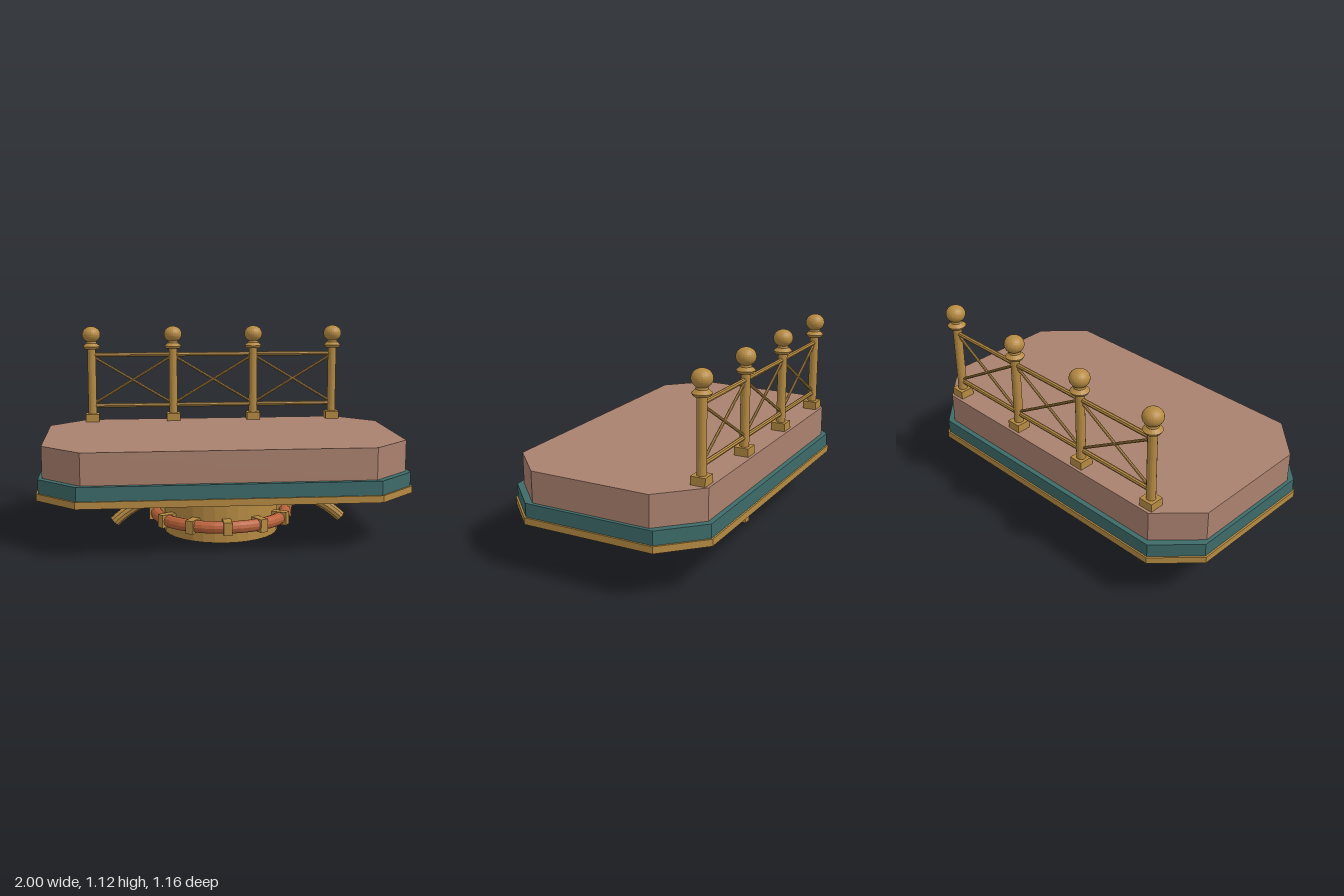
import * as THREE from 'three';

export function createModel() {
  const model = new THREE.Group();
  const material = (name, color, flatShading = false) => {
    const m = new THREE.MeshStandardMaterial({ color, flatShading });
    m.name = name;
    return m;
  };
  const brass = material('brass', 0xb58a42, true);
  const teal = material('teal', 0x3d6b69, true);
  const cushion = material('dustyPink', 0xaa816e, true);
  const copper = material('copper', 0xb9623a, true);

  const add = (name, geometry, mat, x = 0, y = 0, z = 0, parent = model) => {
    const mesh = new THREE.Mesh(geometry, mat);
    mesh.name = name;
    mesh.position.set(x, y, z);
    parent.add(mesh);
    return mesh;
  };

  // Octagonal slab with cut corners
  const slab = (name, hx, hz, cut, y0, y1, mat) => {
    const shape = new THREE.Shape([
      [hx, hz - cut], [hx - cut, hz], [cut - hx, hz], [-hx, hz - cut],
      [-hx, cut - hz], [cut - hx, -hz], [hx - cut, -hz], [hx, cut - hz],
    ].map(([x, z]) => new THREE.Vector2(x, z)));
    const geometry = new THREE.ExtrudeGeometry(shape, { depth: y1 - y0, bevelEnabled: false });
    geometry.rotateX(-Math.PI / 2);
    add(name, geometry, mat, 0, y0, 0);
  };
  slab('basePlate', 1.0, 0.58, 0.21, 0.268, 0.305, brass);
  slab('middleTier', 0.99, 0.571, 0.205, 0.305, 0.38, teal);
  slab('topDeck', 0.97, 0.543, 0.207, 0.38, 0.55, cushion);

  // Round pedestal with a clamped ring
  add('pedestal', new THREE.CylinderGeometry(0.32, 0.32, 0.27, 32), brass, 0, 0.135, 0);
  const ring = new THREE.TorusGeometry(0.365, 0.034, 12, 36);
  ring.rotateX(Math.PI / 2);
  add('pedestalRing', ring, copper, 0, 0.098, 0);
  for (let i = 0; i < 12; i++) {
    const a = (i / 12) * Math.PI * 2;
    const clamp = add('ringClamp', new THREE.BoxGeometry(0.045, 0.072, 0.09), brass,
      Math.sin(a) * 0.36, 0.098, Math.cos(a) * 0.36);
    clamp.rotation.y = a;
  }

  // Curved brackets under the four corners
  for (const sx of [-1, 1]) for (const sz of [-1, 1]) {
    const v = (x, y) => new THREE.Vector3(sx * x, y, sz * 0.435);
    const end = v(0.594, 0.165);
    const curve = new THREE.QuadraticBezierCurve3(v(0.38, 0.288), v(0.49, 0.262), end);
    add('curvedBracket', new THREE.TubeGeometry(curve, 8, 0.029, 10), brass);
    const cap = add('bracketCap', new THREE.CircleGeometry(0.029, 10), brass, end.x, end.y, end.z);
    cap.lookAt(end.clone().add(curve.getTangent(1)));
  }

  // Railing along the back edge
  const railing = new THREE.Group();
  railing.name = 'railing';
  railing.position.z = -0.487;
  model.add(railing);

  const rod = (name, x0, y0, x1, y1, r) => {
    const dx = x1 - x0, dy = y1 - y0;
    const mesh = add(name, new THREE.CylinderGeometry(r, r, Math.hypot(dx, dy), 8), brass,
      (x0 + x1) / 2, (y0 + y1) / 2, 0, railing);
    mesh.rotation.z = Math.atan2(-dx, dy);
  };

  const collarProfile = [[0, 0.985], [0.042, 0.985], [0.051, 1.0], [0.031, 1.018], [0.028, 1.035], [0, 1.035]]
    .map(([r, y]) => new THREE.Vector2(r, y));
  const postX = [-0.729, -0.243, 0.243, 0.729];
  for (const x of postX) {
    add('postFoot', new THREE.BoxGeometry(0.08, 0.045, 0.08), brass, x, 0.5725, 0, railing);
    add('post', new THREE.CylinderGeometry(0.025, 0.025, 0.42, 16), brass, x, 0.79, 0, railing);
    add('postCollar', new THREE.LatheGeometry(collarProfile, 20), brass, x, 0, 0, railing);
    const ball = add('postBall', new THREE.SphereGeometry(0.054, 24, 16), brass, x, 1.07, 0, railing);
    ball.scale.y = 0.89;
  }
  for (const y of [0.643, 0.949]) rod('rail', postX[0], y, postX[3], y, 0.013);

  // Crossed braces in each bay
  for (let i = 0; i < 3; i++) {
    rod('brace', postX[i], 0.65, postX[i + 1], 0.943, 0.008);
    rod('brace', postX[i], 0.943, postX[i + 1], 0.65, 0.008);
  }
  return model;
}
